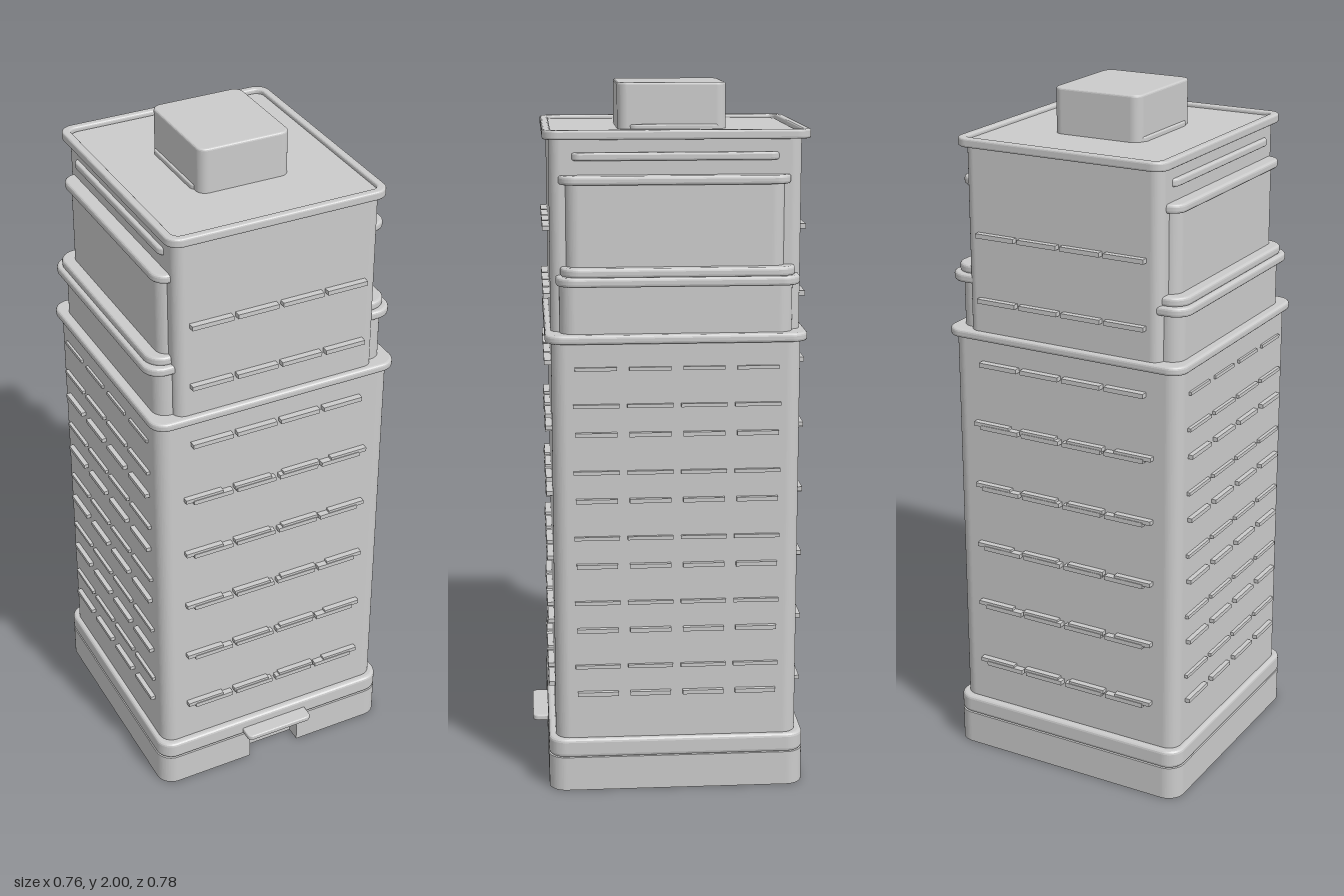
import * as THREE from 'three';

const material = new THREE.MeshStandardMaterial({ color: 0xcccccc });
const ZC = -0.022; // the tower sits slightly behind the entrance canopy

// rounded rectangle drawn in plan (x, -z)
function plan(w, d, r, PathType = THREE.Shape) {
  const s = new PathType(), a = w / 2, b = d / 2;
  s.moveTo(-a + r, -b);
  s.lineTo(a - r, -b);
  s.absarc(a - r, -b + r, r, -Math.PI / 2, 0);
  s.absarc(a - r, b - r, r, 0, Math.PI / 2);
  s.absarc(-a + r, b - r, r, Math.PI / 2, Math.PI);
  s.absarc(-a + r, -b + r, r, Math.PI, Math.PI * 1.5);
  return s;
}

// upright slab with rounded plan corners and softened edges
function slab(parent, name, w, y0, y1, zBack, zFront, r, bevel = 0.006, rim = 0) {
  const shape = plan(w - 2 * bevel, zFront - zBack - 2 * bevel, r);
  if (rim) shape.holes.push(plan(w - 2 * rim, zFront - zBack - 2 * rim, r * 0.8, THREE.Path));
  const geo = new THREE.ExtrudeGeometry(shape, {
    depth: y1 - y0 - 2 * bevel, bevelEnabled: bevel > 0, bevelSize: bevel,
    bevelThickness: bevel, bevelSegments: 3, curveSegments: 8,
  });
  geo.rotateX(-Math.PI / 2);
  geo.translate(0, y0 + bevel, (zBack + zFront) / 2);
  const mesh = new THREE.Mesh(geo, material);
  mesh.name = name;
  parent.add(mesh);
  return mesh;
}

function box(parent, name, w, h, d, x, y, z) {
  const mesh = new THREE.Mesh(new THREE.BoxGeometry(w, h, d), material);
  mesh.name = name;
  mesh.position.set(x, y, z);
  parent.add(mesh);
}

// base course with a doorway notch cut into its front
function addBase(group) {
  const a = 0.378, b = 0.367, r = 0.05, n = 0.082, depth = 0.045;
  const s = new THREE.Shape();
  s.moveTo(-a + r, -b);
  for (const [x, y] of [[-n, -b], [-n, -b + depth], [n, -b + depth], [n, -b], [a - r, -b]]) s.lineTo(x, y);
  s.absarc(a - r, -b + r, r, -Math.PI / 2, 0);
  s.absarc(a - r, b - r, r, 0, Math.PI / 2);
  s.absarc(-a + r, b - r, r, Math.PI / 2, Math.PI);
  s.absarc(-a + r, -b + r, r, Math.PI, Math.PI * 1.5);
  const geo = new THREE.ExtrudeGeometry(s, { depth: 0.1, bevelEnabled: false, curveSegments: 8 });
  geo.rotateX(-Math.PI / 2);
  geo.translate(0, 0, ZC);
  const lower = new THREE.Mesh(geo, material);
  lower.name = 'baseWithDoorway';
  group.add(lower);
  slab(group, 'baseTop', 2 * a, 0.1, 0.155, ZC - b, ZC + b, r - 0.01, 0.01);
}

export function createModel() {
  const group = new THREE.Group();
  group.name = 'tower';

  // main volumes
  addBase(group);
  slab(group, 'body', 0.724, 0.15, 1.315, -0.368, 0.325, 0.035);
  slab(group, 'bodyLedge', 0.754, 1.305, 1.33, -0.386, 0.342, 0.04, 0.008);
  slab(group, 'upperCore', 0.61, 1.32, 1.872, -0.37, 0.325, 0.025);

  // stepped side volumes with their ledges
  slab(group, 'lowerSideStep', 0.7, 1.32, 1.475, -0.345, 0.3, 0.035);
  slab(group, 'lowerStepLedge', 0.752, 1.462, 1.488, -0.364, 0.31, 0.045, 0.008);
  slab(group, 'lowerStepCap', 0.728, 1.486, 1.512, -0.352, 0.297, 0.045, 0.008);
  slab(group, 'upperSideStep', 0.66, 1.5, 1.745, -0.322, 0.282, 0.03);
  slab(group, 'upperStepLedge', 0.69, 1.736, 1.761, -0.338, 0.3, 0.035, 0.008);
  slab(group, 'sideMoulding', 0.636, 1.8, 1.822, -0.308, 0.266, 0.02);

  // roof rim and plant room
  slab(group, 'roofRim', 0.648, 1.857, 1.883, -0.394, 0.342, 0.035, 0.006, 0.018);
  slab(group, 'plantRoom', 0.27, 1.865, 2, -0.177, 0.129, 0.022);
  slab(group, 'plantRoomPlinth', 0.284, 1.865, 1.885, -0.16, 0.1, 0.02, 0.004);

  // entrance canopy
  slab(group, 'entranceCanopy', 0.216, 0.108, 0.125, 0.28, 0.39, 0.012, 0.004);

  // window sills on front and back
  const frontRows = [0.285, 0.475, 0.665, 0.855, 1.045, 1.235, 1.424, 1.612];
  for (const z of [0.331, -0.375]) {
    frontRows.forEach((y, row) => {
      for (let i = 0; i < 4; i++) {
        const x = -0.203 + i * 0.135;
        box(group, 'windowSill', 0.122, 0.013, 0.026, x, y, z);
        // second overlapping layer on the lower floors
        if (row < 5) box(group, 'windowSillLayer', 0.115, 0.012, 0.022, -0.23 + i * 0.153, y + 0.008, z);
      }
    });
  }

  // window sills on both sides, two rows per floor
  for (const side of [1, -1]) {
    for (let floor = 0; floor < 5; floor++) {
      const y = 0.29 + floor * 0.19;
      for (let i = 0; i < 4; i++) {
        const z = 0.203 - i * 0.15;
        box(group, 'sideSill', 0.03, 0.012, 0.116, side * 0.361, y, z);
        box(group, 'sideUpperSill', 0.022, 0.01, 0.128, side * 0.361, y + 0.081, z);
      }
    }
    for (let i = 0; i < 4; i++) box(group, 'sideTopSill', 0.016, 0.01, 0.116, side * 0.361, 1.235, 0.203 - i * 0.15);
  }
  return group;
}
